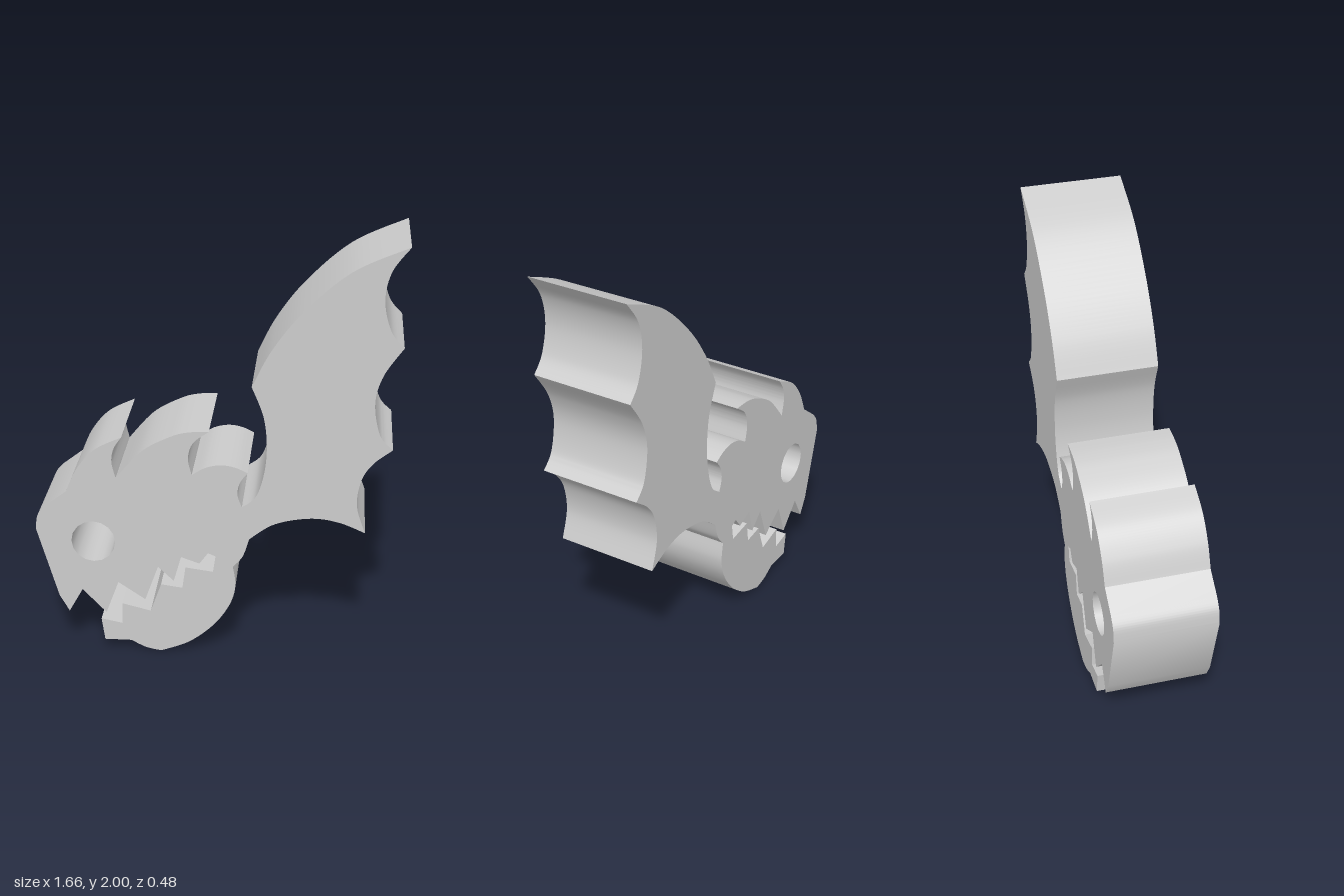
import * as THREE from 'three';
import { toCreasedNormals } from 'three/addons/utils/BufferGeometryUtils.js';

const DEPTH = 0.48;

export function createModel() {
  const group = new THREE.Group();
  group.name = 'wingedDragonHead';

  const outline = new THREE.Shape();
  const curve = (...pts) => outline.splineThru(pts.map(([x, y]) => new THREE.Vector2(x, y)));
  const lines = (...pts) => pts.forEach(([x, y]) => outline.lineTo(x, y));

  // Wing: leading edge from the tip, then the inner edge down to the neck
  outline.moveTo(0.83, 2);
  curve([0.585, 1.885], [0.38, 1.7], [0.245, 1.52], [0.16, 1.35]);
  curve([0.215, 1.205], [0.23, 1.05], [0.215, 0.915], [0.18, 0.815], [0.12, 0.765]);

  // Three crest spikes: concave back edge, then rounded top
  curve([0.1, 0.825], [0.11, 0.885], [0.145, 0.935]);
  curve([0.09, 0.96], [0.025, 0.97], [-0.045, 0.955], [-0.108, 0.917]);
  curve([-0.124, 1.0], [-0.1, 1.075], [-0.03, 1.13]);
  curve([-0.12, 1.125], [-0.205, 1.1], [-0.335, 1.025], [-0.455, 0.89]);
  curve([-0.472, 0.97], [-0.46, 1.035], [-0.425, 1.09]);
  curve([-0.55, 1.025], [-0.635, 0.925], [-0.685, 0.815]);

  // Brow and snout
  lines([-0.785, 0.738]);
  curve([-0.822, 0.69], [-0.833, 0.62]);
  lines([-0.735, 0.275], [-0.69, 0.195]);

  // Upper teeth, back to the corner of the mouth
  lines([-0.625, 0.312], [-0.515, 0.195], [-0.455, 0.357], [-0.33, 0.272], [-0.268, 0.445],
    [-0.195, 0.375], [-0.16, 0.5], [-0.075, 0.47], [-0.035, 0.525], [0, 0.51]);

  // Lower teeth, forward to the chin
  lines([-0.012, 0.43], [-0.14, 0.447], [-0.155, 0.34], [-0.255, 0.354], [-0.305, 0.212],
    [-0.438, 0.245], [-0.44, 0.14], [-0.54, 0.16], [-0.525, 0.05], [-0.4, 0.05]);

  // Underside of the jaw and neck
  curve([-0.33, 0.015], [-0.258, 0]);
  curve([-0.125, 0.055], [-0.01, 0.15], [0.065, 0.26], [0.092, 0.36], [0.08, 0.46]);
  curve([0.125, 0.515], [0.155, 0.605]);

  // Scalloped trailing edge of the wing
  curve([0.27, 0.685], [0.43, 0.72], [0.56, 0.705], [0.68, 0.657]);
  curve([0.64, 0.79], [0.655, 0.915], [0.705, 1.0], [0.79, 1.07]);
  curve([0.73, 1.14], [0.703, 1.29], [0.735, 1.42], [0.82, 1.55]);
  curve([0.76, 1.625], [0.728, 1.76], [0.752, 1.89], [0.83, 2]);

  // Eye hole
  const eye = new THREE.Path();
  eye.absarc(-0.567, 0.565, 0.102, 0, Math.PI * 2, true);
  outline.holes.push(eye);

  const geometry = new THREE.ExtrudeGeometry(outline, { depth: DEPTH, bevelEnabled: false, curveSegments: 8 });
  geometry.translate(0, 0, -DEPTH / 2);

  const body = new THREE.Mesh(
    toCreasedNormals(geometry, 0.45),
    new THREE.MeshStandardMaterial({ color: 0xcccccc })
  );
  body.name = 'headAndWing';
  group.add(body);
  return group;
}
